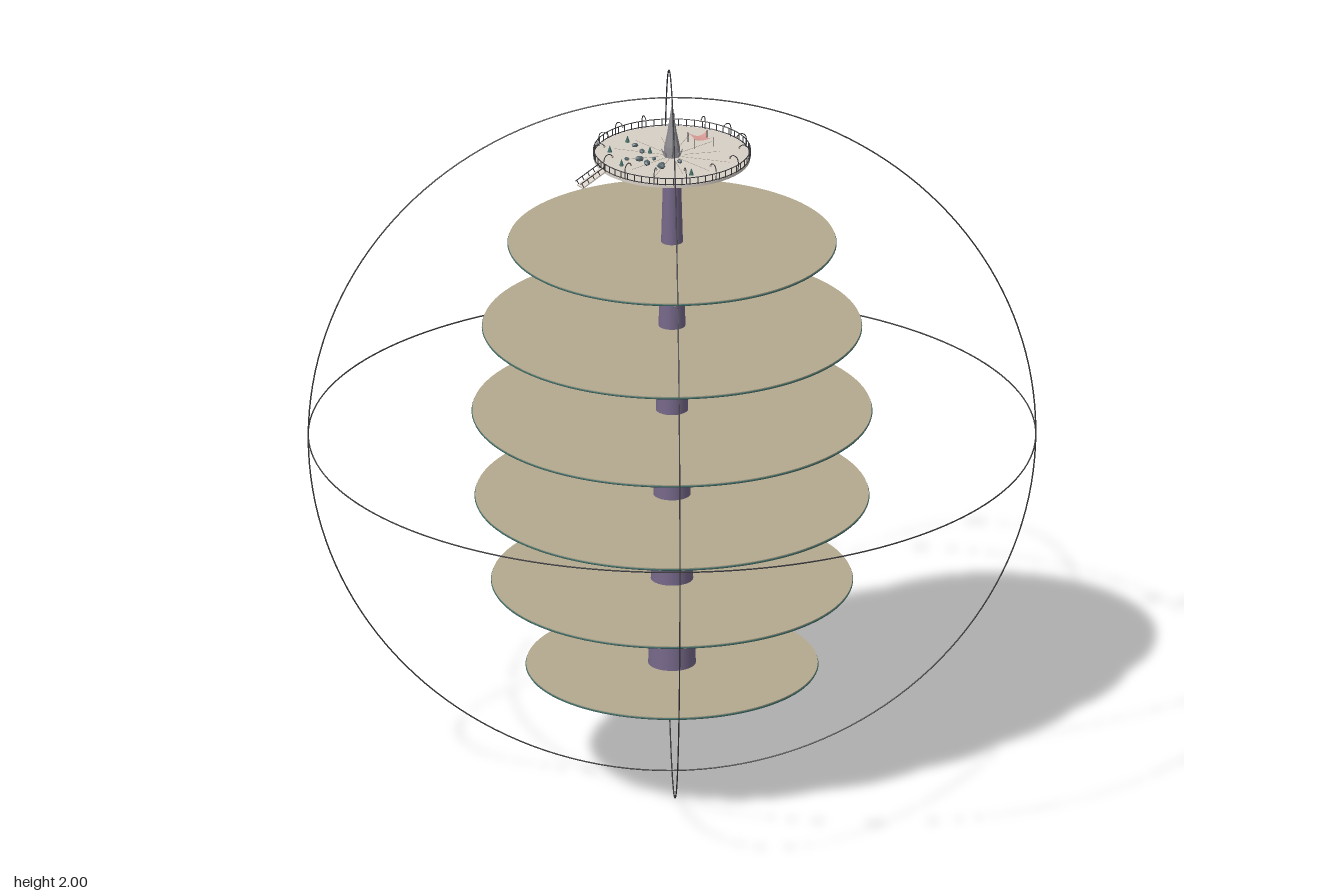
import * as THREE from 'three';

const mat = (color, extra = {}) => new THREE.MeshStandardMaterial({ color, ...extra });
const STONE = mat(0xd8d0c6), SAND = mat(0xb3a98f), TEAL = mat(0x3f6a64), DARK = mat(0x3a3a3e);
const TRUNK = mat(0x76688a), GREY = mat(0x8c8a90, { flatShading: true }), PINK = mat(0xd89a94, { side: THREE.DoubleSide });
const ROCK = mat(0x56666c, { flatShading: true }), WOOD = mat(0x9a9080);
const DECK = 1.826, DECK_R = 0.215;

function add(parent, name, geometry, material, x = 0, y = 0, z = 0) {
  const mesh = new THREE.Mesh(geometry, material);
  mesh.name = name;
  mesh.position.set(x, y, z);
  parent.add(mesh);
  return mesh;
}

function group(parent, name) {
  const g = new THREE.Group();
  g.name = name;
  parent.add(g);
  return g;
}

// Three thin great circles enclosing the tower
function addOrbits(root) {
  const orbits = group(root, 'orbitRings');
  const geo = new THREE.TorusGeometry(0.998, 0.002, 6, 160);
  [['frontRing', 0, 0], ['sideRing', 0, Math.PI / 2], ['levelRing', Math.PI / 2, 0]].forEach(([name, rx, ry]) => {
    add(orbits, name, geo, DARK, 0, 1, 0).rotation.set(rx, ry, 0);
  });
}

// Round floors with a thin coloured edge
function addFloors(root) {
  const floors = group(root, 'floors');
  [[0.32, 0.40], [0.57, 0.495], [0.82, 0.54], [1.07, 0.548], [1.32, 0.52], [1.568, 0.45]].forEach(([y, r]) => {
    add(floors, 'floorDisc', new THREE.CylinderGeometry(r, r, 0.008, 96), SAND, 0, y, 0);
    const rim = add(floors, 'floorRim', new THREE.TorusGeometry(r - 0.001, 0.003, 6, 96), TEAL, 0, y - 0.001, 0);
    rim.rotation.x = Math.PI / 2;
  });
}

// Railing and hooked lamps around the top deck
function addRailing(deck) {
  const posts = 60, lamps = 15;
  const railing = group(deck, 'railing');
  const postGeo = new THREE.CylinderGeometry(0.0015, 0.0015, 0.02, 5);
  for (let i = 0; i < posts; i++) {
    const a = (i / posts) * Math.PI * 2;
    add(railing, 'railPost', postGeo, DARK, DECK_R * Math.cos(a), DECK + 0.01, DECK_R * Math.sin(a));
  }
  [0.002, 0.02].forEach((h) => {
    add(railing, 'rail', new THREE.TorusGeometry(DECK_R, 0.0014, 5, 80), DARK, 0, DECK + h, 0).rotation.x = Math.PI / 2;
  });

  const hook = new THREE.CatmullRomCurve3([[0, 0], [0.001, 0.025], [-0.004, 0.038], [-0.016, 0.042], [-0.026, 0.035]]
    .map(([x, y]) => new THREE.Vector3(x, y, 0)));
  const hookGeo = new THREE.TubeGeometry(hook, 14, 0.0014, 5);
  const bulbGeo = new THREE.SphereGeometry(0.003, 8, 6);
  for (let i = 0; i < lamps; i++) {
    const a = (i / lamps) * Math.PI * 2 + 0.15;
    const lamp = group(deck, 'lamp');
    lamp.position.set((DECK_R - 0.003) * Math.cos(a), DECK, (DECK_R - 0.003) * Math.sin(a));
    lamp.rotation.y = -a;
    add(lamp, 'lampHook', hookGeo, DARK);
    add(lamp, 'lampBulb', bulbGeo, WOOD, -0.026, 0.033, 0);
  }
}

// Ramp sloping down and outward from the deck edge
function addRamp(deck) {
  const ramp = group(deck, 'ramp');
  ramp.position.set(-0.19, DECK, 0.098);
  ramp.rotation.y = Math.PI + 0.5;
  const slope = group(ramp, 'rampSlope');
  slope.rotation.z = -0.45;
  add(slope, 'rampFloor', new THREE.BoxGeometry(0.085, 0.004, 0.03), STONE, 0.04, 0, 0);
  [-1, 1].forEach((s) => {
    add(slope, 'rampRail', new THREE.BoxGeometry(0.085, 0.002, 0.002), DARK, 0.04, 0.015, s * 0.014);
    for (let i = 0; i < 5; i++) {
      add(slope, 'rampPost', new THREE.BoxGeometry(0.002, 0.014, 0.002), DARK, 0.002 + i * 0.019, 0.008, s * 0.014);
    }
  });
}

// Boulders, small shrubs and a canopy standing on the deck
function addProps(deck) {
  const rockGeo = new THREE.IcosahedronGeometry(0.011, 0);
  [[-0.09, 0.035, 1], [-0.07, 0.065, 1], [-0.032, 0.09, 1], [-0.03, 0.075, 0.8], [0.02, 0.052, 0.7],
    [-0.1, -0.066, 0.8], [-0.082, -0.022, 0.8], [-0.125, 0.03, 0.6], [-0.05, 0.03, 0.6]].forEach(([x, z, s], i) => {
    const rock = add(deck, 'boulder', rockGeo, ROCK, x, DECK + 0.006 * s, z);
    rock.scale.set(s * 1.2, s * 0.8, s * 0.9);
    rock.rotation.y = i * 1.3;
  });
  const shrubGeo = new THREE.ConeGeometry(0.007, 0.02, 6);
  [[-0.12, -0.1], [-0.17, -0.03], [-0.14, 0.07], [-0.06, -0.02], [0.05, 0.14]].forEach(([x, z]) =>
    add(deck, 'shrub', shrubGeo, TEAL, x, DECK + 0.01, z));

  const canopy = group(deck, 'canopy');
  canopy.position.set(0.08, DECK, -0.08);
  canopy.rotation.y = 0.3;
  // Cloth sags between four raised corners
  const cloth = new THREE.PlaneGeometry(0.055, 0.055, 8, 8).rotateX(-Math.PI / 2);
  const p = cloth.attributes.position;
  for (let i = 0; i < p.count; i++) {
    const u = p.getX(i) / 0.0275, v = p.getZ(i) / 0.0275;
    p.setXYZ(i, p.getX(i) * (0.65 + 0.35 * v * v), 0.018 + 0.01 * u * u * v * v, p.getZ(i) * (0.65 + 0.35 * u * u));
  }
  cloth.computeVertexNormals();
  add(canopy, 'canopyCloth', cloth, PINK);
  [-1, 1].forEach((sx) => [-1, 1].forEach((sz) =>
    add(canopy, 'canopyPole', new THREE.CylinderGeometry(0.0012, 0.0012, 0.028, 5), DARK, sx * 0.0275, 0.014, sz * 0.0275)));
}

function addDeck(root) {
  const deck = group(root, 'topDeck');
  add(deck, 'deckDisc', new THREE.CylinderGeometry(DECK_R, DECK_R, 0.008, 64), STONE, 0, DECK - 0.004, 0);
  // Fine seams radiating from the spire
  for (let i = 0; i < 12; i++) {
    const seam = group(deck, 'seam');
    seam.rotation.y = (i / 12) * Math.PI * 2 + 0.2;
    add(seam, 'seamStrip', new THREE.BoxGeometry(0.1 + 0.03 * (i % 3), 0.001, 0.001), WOOD, 0.085, DECK, 0);
  }
  addRailing(deck);
  addRamp(deck);
  addProps(deck);

  // Star-shaped spire with small spurs at its foot
  const spire = group(deck, 'spire');
  add(spire, 'spireCone', new THREE.LatheGeometry(
    [[0.024, 0], [0.021, 0.03], [0.013, 0.07], [0.006, 0.115], [0, 0.16]].map(([x, y]) => new THREE.Vector2(x, y)), 8), GREY, 0, DECK, 0);
  for (let i = 0; i < 8; i++) {
    const arm = group(spire, 'spur');
    arm.rotation.y = (i / 8) * Math.PI * 2;
    add(arm, 'spurCone', new THREE.ConeGeometry(0.005, 0.03, 5), GREY, 0.024, DECK + 0.01, 0).rotation.z = -0.5;
  }
}

export function createModel() {
  const root = new THREE.Group();
  root.name = 'tieredTower';
  addOrbits(root);
  add(root, 'trunk', new THREE.CylinderGeometry(0.023, 0.069, 1.62, 32), TRUNK, 0, 1.01, 0);
  addFloors(root);
  addDeck(root);
  return root;
}
